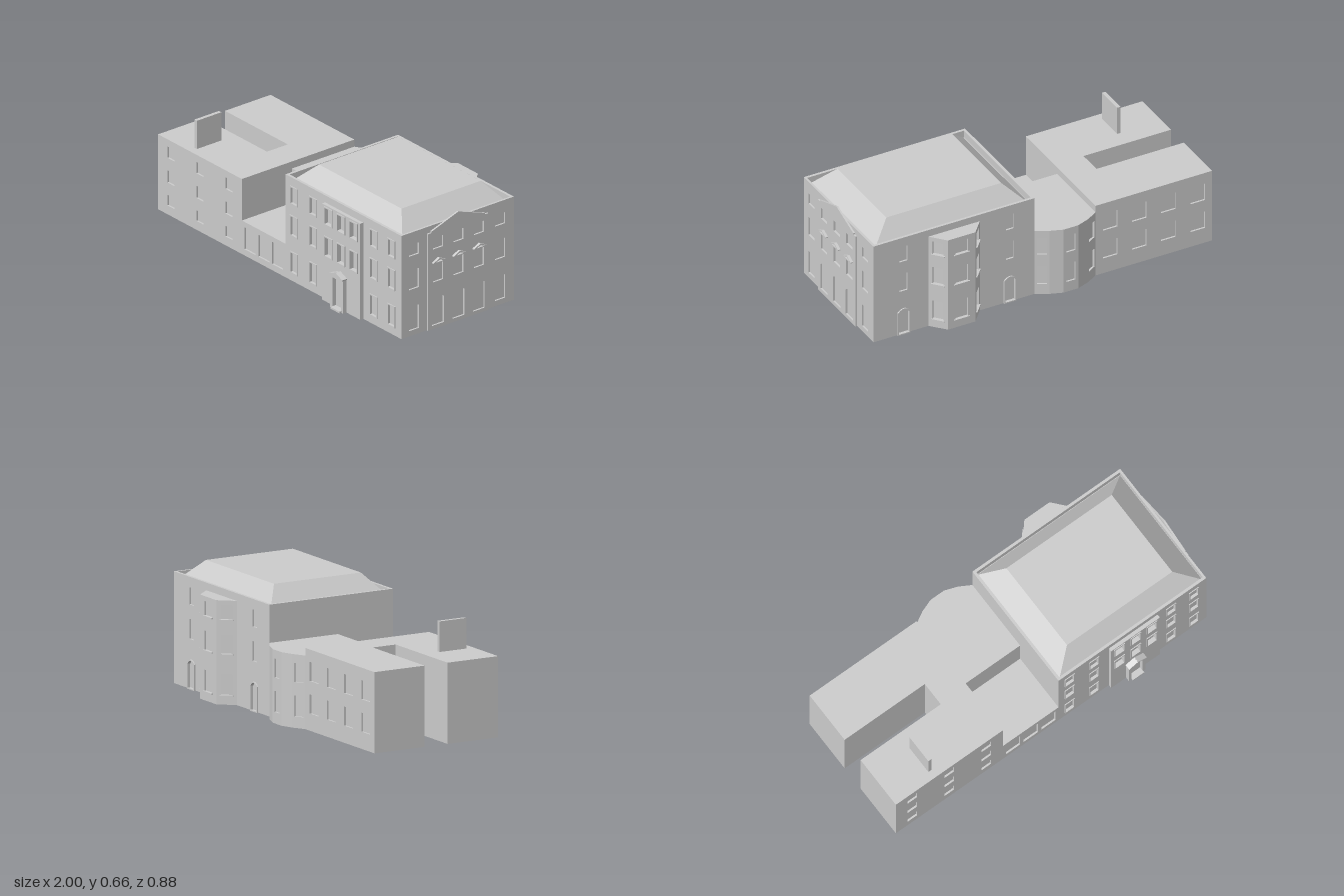
import * as THREE from 'three';

const grey = new THREE.MeshStandardMaterial({ color: 0xcccccc, flatShading: true, side: THREE.DoubleSide });

export function createModel() {
  const model = new THREE.Group();
  const add = (name, geometry, parent = model) => {
    const mesh = new THREE.Mesh(geometry, grey);
    mesh.name = name;
    parent.add(mesh);
    return mesh;
  };

  // Box given by its limits
  const block = (name, x0, x1, y0, y1, z0, z1) => add(name, new THREE.BoxGeometry(x1 - x0, y1 - y0, z1 - z0)
    .translate((x0 + x1) / 2, (y0 + y1) / 2, (z0 + z1) / 2));

  // Upright prism over a plan of [x, z] points
  const prism = (plan, h) => new THREE.ExtrudeGeometry(
    new THREE.Shape(plan.map(([x, z]) => new THREE.Vector2(x, -z))), { depth: h, bevelEnabled: false }).rotateX(-Math.PI / 2);

  // Opening outline, optionally with a segmental arched top
  const opening = (Type, { u, y, w, h, arch = 0 }, grow = 0) => {
    const p = new Type(), l = u - w / 2 - grow, r = u + w / 2 + grow, b = y - grow, t = y + h + grow;
    p.moveTo(l, b).lineTo(r, b).lineTo(r, t - arch);
    if (arch) p.quadraticCurveTo(u, t + arch, l, t - arch);
    else p.lineTo(l, t);
    p.closePath();
    return p;
  };

  // Wall panel from plan point a to b (left to right seen from outside) with openings cut through
  const facade = (name, a, b, h, windows = [], { d = 0.012, outline, frame = 0, sill = false } = {}) => {
    const group = new THREE.Group(), len = Math.hypot(b[0] - a[0], b[1] - a[1]);
    group.name = name;
    group.position.set(a[0], 0, a[1]);
    group.rotation.y = Math.atan2(a[1] - b[1], b[0] - a[0]);
    model.add(group);
    const pts = outline || [[0, 0], [len, 0], [len, h], [0, h]];
    const wall = new THREE.Shape(pts.map(p => new THREE.Vector2(...p)));
    wall.holes = windows.map(w => opening(THREE.Path, w));
    add('wall', new THREE.ExtrudeGeometry(wall, { depth: d, bevelEnabled: false, curveSegments: 8 }).translate(0, 0, -d), group);
    for (const w of windows) {
      if (frame || w.frame) {
        const ring = opening(THREE.Shape, w, 0.006);
        ring.holes = [opening(THREE.Path, w)];
        add('windowFrame', new THREE.ExtrudeGeometry(ring, { depth: frame || w.frame, bevelEnabled: false, curveSegments: 8 }), group);
      }
      if (sill) add('windowSill', new THREE.BoxGeometry(w.w + 0.015, 0.006, 0.008).translate(w.u, w.y - 0.003, 0.004), group);
    }
    return group;
  };

  // Grid of windows from column centres and [bottom, top] rows
  const grid = (columns, rows, w) => columns.flatMap(u => rows.map(([y, t]) => ({ u, y, w, h: t - y })));
  const floors = [[0.05, 0.16], [0.26, 0.365], [0.44, 0.53]];

  // Main house: core up to the gutter, walls forming the parapet
  block('mainCore', 0.045, 0.965, 0, 0.545, -0.345, 0.375);
  facade('mainFront', [0.035, 0.385], [0.975, 0.385], 0.585,
    grid([0.07, 0.225, 0.715, 0.86], floors, 0.05), { d: 0.015, frame: 0.005 });
  const backDoors = [0.175, 0.795].map(u => ({ u, y: 0.004, w: 0.06, h: 0.145, arch: 0.02, frame: 0.007 }));
  facade('mainBack', [0.975, -0.355], [0.035, -0.355], 0.585,
    [...grid([0.175, 0.795], floors.slice(1), 0.045), ...backDoors], { d: 0.015 });
  facade('mainRight', [0.975, 0.385], [0.975, -0.355], 0.585,
    grid([0.082, 0.649], [[0.03, 0.163], [0.262, 0.37], [0.452, 0.515]], 0.066));
  facade('mainLeft', [0.035, -0.355], [0.035, 0.385], 0.585, [], { d: 0.015 });

  // Hipped roof with a flat top
  const roof = new THREE.BoxGeometry(1, 1, 1), p = roof.attributes.position;
  for (let i = 0; i < p.count; i++) {
    const top = p.getY(i) > 0, [x0, x1, z0, z1] = top ? [0.17, 0.84, -0.245, 0.275] : [0.05, 0.965, -0.34, 0.37];
    p.setXYZ(i, p.getX(i) < 0 ? x0 : x1, top ? 0.657 : 0.542, p.getZ(i) < 0 ? z0 : z1);
  }
  roof.computeVertexNormals();
  add('roof', roof);

  // Front bay and gabled door surround
  facade('frontBay', [0.355, 0.405], [0.665, 0.405], 0.545,
    grid([0.052, 0.155, 0.258], floors.slice(1), 0.055), { d: 0.02, frame: 0.005 });
  facade('doorSurround', [0.45, 0.428], [0.555, 0.428], 0.19,
    [{ u: 0.0525, y: 0.01, w: 0.072, h: 0.165 }],
    { d: 0.023, outline: [[0, 0], [0.105, 0], [0.105, 0.19], [0.0525, 0.212], [0, 0.19]] });
  block('doorStep', 0.468, 0.54, 0, 0.01, 0.405, 0.44);
  for (const s of [-1, 1]) {
    const slope = block('doorGableMoulding', -0.03, 0.03, -0.004, 0.004, 0.405, 0.437);
    slope.position.set(0.5025 + s * 0.027, 0.201, 0);
    slope.rotation.z = -s * 0.4;
  }

  // Pedimented centrepiece on the right side
  const bays = [0.066, 0.2, 0.334];
  const portico = facade('sidePediment', [0.985, 0.218], [0.985, -0.18], 0.548,
    [...bays.map(u => ({ u, y: 0.02, w: 0.077, h: 0.166, arch: 0.018 })),
      ...grid(bays, [[0.265, 0.37], [0.452, 0.515]], 0.066)],
    { d: 0.01, outline: [[0, 0], [0.398, 0], [0.398, 0.548], [0.375, 0.548], [0.375, 0.556], [0.199, 0.617],
      [0.023, 0.556], [0.023, 0.548], [0, 0.548]] });
  for (const u of bays) {
    const hood = new THREE.Shape([[-0.041, 0.375], [0.041, 0.375], [0.041, 0.38], [0, 0.4], [-0.041, 0.38]]
      .map(q => new THREE.Vector2(u + q[0], q[1])));
    hood.holes = [new THREE.Path([[-0.025, 0.38], [0.025, 0.38], [0, 0.392]].map(q => new THREE.Vector2(u + q[0], q[1])))];
    add('windowHood', new THREE.ExtrudeGeometry(hood, { depth: 0.015, bevelEnabled: false }), portico);
  }

  // Canted bay at the back
  const bay = [[0.655, -0.355], [0.585, -0.435], [0.425, -0.435], [0.355, -0.355]];
  add('backBayCore', prism([[0.64, -0.352], [0.58, -0.425], [0.43, -0.425], [0.37, -0.352]], 0.545));
  for (let i = 0; i < 3; i++) {
    const len = Math.hypot(bay[i + 1][0] - bay[i][0], bay[i + 1][1] - bay[i][1]);
    facade('backBayWall', bay[i], bay[i + 1], 0.545,
      grid([len / 2], [[0.05, 0.16], [0.265, 0.365], [0.445, 0.52]], i === 1 ? 0.075 : 0.06), { sill: true });
  }

  // Link building: tall rear part, low front part
  block('linkRear', -0.32, 0.035, 0, 0.385, -0.35, 0.055);
  block('linkFront', -0.32, 0.035, 0, 0.19, 0.055, 0.375);
  facade('linkFrontWall', [-0.32, 0.385], [0.035, 0.385], 0.19, grid([0.065, 0.178, 0.29], [[0.035, 0.16]], 0.09));

  // Bowed rear wall of the link
  const bow = [[0.035, -0.355], [-0.03, -0.392], [-0.1, -0.417], [-0.185, -0.417], [-0.255, -0.392], [-0.32, -0.355]];
  add('bowCore', prism(bow.map(([x, z]) => [-0.1425 + (x + 0.1425) * 0.97, z + 0.01]), 0.385));
  for (let i = 0; i < 5; i++) {
    const len = Math.hypot(bow[i + 1][0] - bow[i][0], bow[i + 1][1] - bow[i][1]);
    facade('bowWall', bow[i], bow[i + 1], 0.385,
      i % 2 ? [] : grid([len / 2], [[0.06, 0.17], [0.24, 0.34]], 0.05));
  }

  // U-shaped wing, open underneath
  const wing = prism([[-1, 0.375], [-0.32, 0.375], [-0.32, -0.345], [-1, -0.345],
    [-1, -0.055], [-0.49, -0.055], [-0.49, 0.082], [-1, 0.082]], 0.425);
  const src = wing.attributes.position.array, kept = [];
  for (let i = 0; i < src.length; i += 9) {
    if (Math.max(src[i + 1], src[i + 4], src[i + 7]) > 0.001) kept.push(...src.slice(i, i + 9));
  }
  const shell = new THREE.BufferGeometry();
  shell.setAttribute('position', new THREE.Float32BufferAttribute(kept, 3));
  shell.computeVertexNormals();
  add('wingShell', shell);
  facade('wingFront', [-1, 0.385], [-0.32, 0.385], 0.425,
    grid([0.105, 0.34, 0.575], [[0.05, 0.11], [0.18, 0.25], [0.32, 0.385]], 0.06));
  facade('wingBack', [-0.32, -0.355], [-1, -0.355], 0.425,
    grid([0.085, 0.255, 0.425, 0.595], [[0.09, 0.19], [0.26, 0.36]], 0.085));
  block('chimney', -0.76, -0.74, 0.425, 0.585, 0.18, 0.34);

  return model;
}
